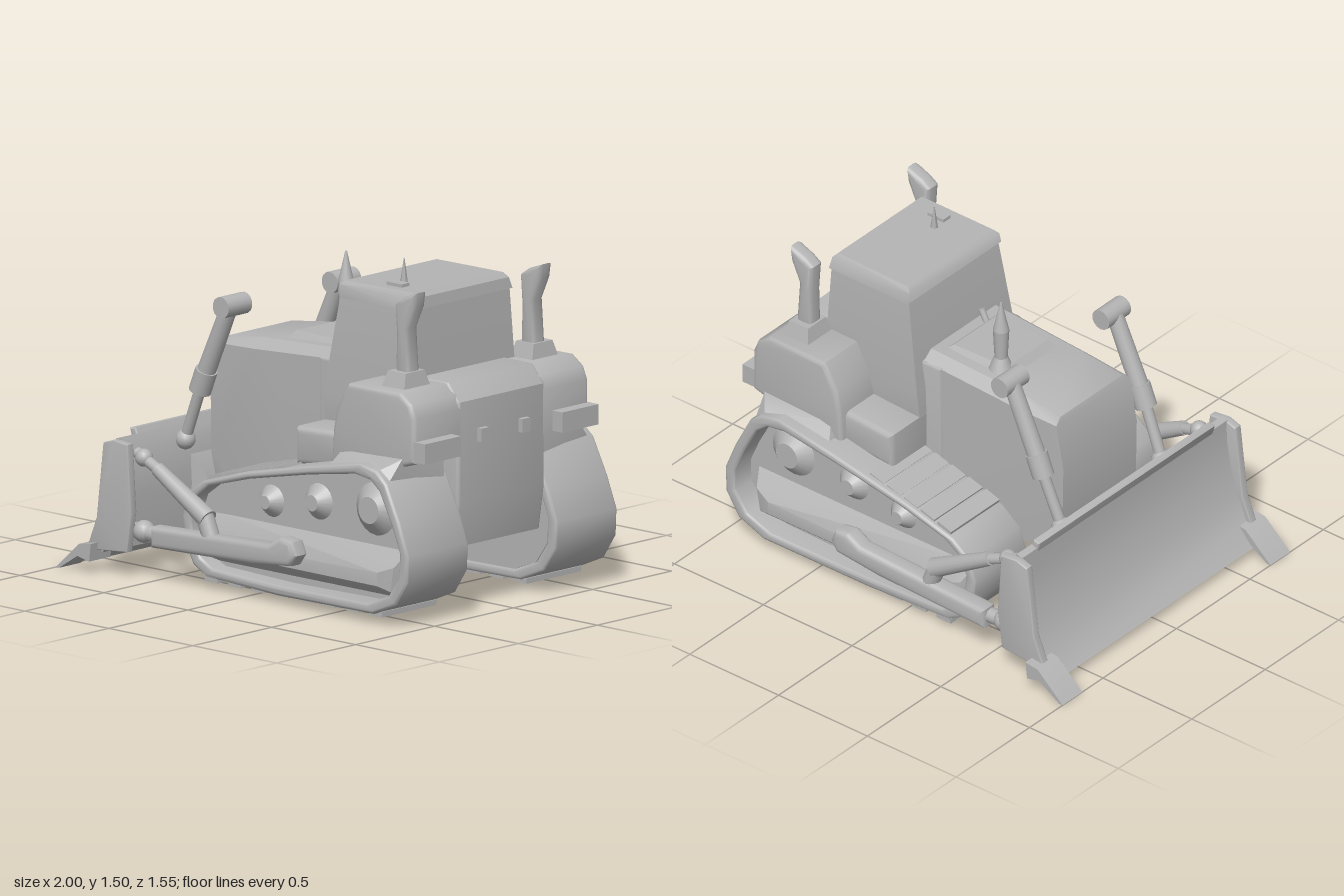
import * as THREE from 'three';
import { toCreasedNormals } from 'three/addons/utils/BufferGeometryUtils.js';
import { ConvexGeometry } from 'three/addons/geometries/ConvexGeometry.js';

export function createModel() {
  const model = new THREE.Group();
  model.name = 'bulldozer';
  const grey = new THREE.MeshStandardMaterial({ color: 0xb4b4b4 });
  grey.name = 'plain grey';
  const V = (x, y, z) => new THREE.Vector3(x, y, z);

  const add = (name, geometry) => {
    const mesh = new THREE.Mesh(geometry, grey);
    mesh.name = name;
    model.add(mesh);
    return mesh;
  };
  // side outline (x, y) extruded between two z values, with softened edges
  const slab = (name, pts, z0, z1, bevel = 0, hole = null) => {
    const vecs = (list) => list.map(([x, y]) => new THREE.Vector2(x, y));
    const shape = new THREE.Shape(vecs(pts));
    if (hole) shape.holes.push(new THREE.Path(vecs(hole)));
    const g = new THREE.ExtrudeGeometry(shape, {
      depth: z1 - z0 - 2 * bevel, bevelEnabled: bevel > 0, bevelSize: bevel,
      bevelThickness: bevel, bevelOffset: -bevel, bevelSegments: 3,
    });
    g.translate(0, 0, z0 + bevel);
    return add(name, toCreasedNormals(g, 0.7));
  };
  // convex body around corner points, on one side or mirrored over z = 0
  const convex = (name, pts, s = 1) => add(name, toCreasedNormals(
    new ConvexGeometry(pts.map(([x, y, z]) => V(x, y, s * z))), 0.6));
  const hull = (name, pts) => convex(name, pts.flatMap(([x, y, z]) => [[x, y, z], [x, y, -z]]));
  const box = (name, x0, x1, y0, y1, z0, z1) => {
    const m = add(name, new THREE.BoxGeometry(x1 - x0, y1 - y0, z1 - z0));
    m.position.set((x0 + x1) / 2, (y0 + y1) / 2, (z0 + z1) / 2);
    return m;
  };
  // round rod between two points
  const rod = (name, a, b, r0, r1 = r0, sides = 14) => {
    const d = b.clone().sub(a);
    const m = add(name, new THREE.CylinderGeometry(r1, r0, d.length(), sides));
    m.position.copy(a).addScaledVector(d, 0.5);
    m.quaternion.setFromUnitVectors(V(0, 1, 0), d.normalize());
  };
  const ball = (name, p, r) => add(name, new THREE.SphereGeometry(r, 14, 10)).position.copy(p);

  // engine hood and its raised top panel
  hull('hood', [
    [-0.55, 0.36, 0.23], [-0.565, 0.5, 0.25], [-0.57, 0.78, 0.25], [-0.53, 0.99, 0.25],
    [-0.52, 1.015, 0.21], [-0.5, 0.33, 0.24], [-0.36, 0.32, 0.25], [-0.3, 1.0, 0.262], [-0.3, 1.045, 0.21],
    [0.2, 0.32, 0.26], [0.2, 1.03, 0.268], [0.2, 1.07, 0.22],
  ]);
  hull('hoodPanel', [[-0.2, 1.04, 0.17], [-0.16, 1.085, 0.14], [0.13, 1.085, 0.15], [0.17, 1.05, 0.18]]);
  rod('hoodStackBase', V(-0.12, 1.06, -0.13), V(-0.12, 1.12, -0.13), 0.055, 0.03);
  rod('hoodStack', V(-0.12, 1.1, -0.13), V(-0.12, 1.26, -0.13), 0.028, 0.036);
  rod('hoodStackTip', V(-0.12, 1.26, -0.13), V(-0.12, 1.4, -0.13), 0.036, 0.004);
  rod('hoodHandle', V(0.15, 1.06, 0.1), V(0.18, 1.12, 0.1), 0.015);

  // rear body between the tracks
  slab('rearBody', [[0.1, 0.3], [0.9, 0.3], [0.93, 0.5], [0.93, 0.95], [0.86, 1.03], [0.1, 1.03]], -0.275, 0.275, 0.015);
  for (const z of [-0.13, 0.13]) box('rearHook', 0.91, 0.955, 0.76, 0.82, z - 0.025, z + 0.025);

  // cab, roof and aerial
  hull('cab', [
    [0.18, 0.76, 0.32], [0.185, 0.9, 0.335], [0.255, 1.33, 0.305], [0.69, 1.33, 0.305],
    [0.7, 1.02, 0.325], [0.7, 0.76, 0.32],
  ]);
  hull('roof', [
    [0.235, 1.345, 0.3], [0.25, 1.38, 0.305], [0.27, 1.397, 0.29],
    [0.67, 1.402, 0.285], [0.69, 1.38, 0.3], [0.695, 1.33, 0.318], [0.26, 1.32, 0.31],
  ]);
  rod('aerial', V(0.48, 1.39, 0.14), V(0.48, 1.505, 0.14), 0.018, 0.002, 6);
  box('roofVent', 0.47, 0.56, 1.39, 1.415, 0.19, 0.24);

  // track outline and the opening in its outer side
  const trackLine = [
    [-0.24, 0.055], [0.2, 0.04], [0.78, 0.05], [0.92, 0.11], [0.99, 0.22], [0.995, 0.34],
    [0.94, 0.48], [0.86, 0.64], [0.8, 0.69], [0.7, 0.705], [0.4, 0.65], [0, 0.56],
    [-0.26, 0.48], [-0.35, 0.41], [-0.385, 0.31], [-0.37, 0.19], [-0.32, 0.1],
  ];
  const opening = trackLine.map(([x, y]) => [0.3 + (x - 0.3) * 0.925, 0.36 + (y - 0.36) * 0.86]);

  for (const s of [1, -1]) {
    const span = (a, b) => (s > 0 ? [a, b] : [-b, -a]);
    const side = (name, pts, a, b, bevel, hole) => slab(name, pts, ...span(a, b), bevel, hole);

    // crawler track, narrowing a little towards the front
    const belt = side('trackBelt', trackLine, 0.275, 0.65, 0.014, opening).geometry.attributes.position;
    for (let i = 0; i < belt.count; i++) {
      const z = Math.abs(belt.getZ(i));
      belt.setZ(i, s * (0.275 + (z - 0.275) * (0.975 + 0.07 * belt.getX(i))));
    }
    // recessed core, lower beam with sloping faces, sprocket and hubs
    side('trackCore', opening, 0.28, 0.55, 0);
    convex('trackBeam', [
      [-0.31, 0.11, 0.54], [-0.33, 0.34, 0.54], [0.9, 0.34, 0.54], [0.88, 0.11, 0.54],
      [-0.28, 0.15, 0.6], [-0.28, 0.25, 0.6], [0.86, 0.26, 0.61], [0.84, 0.15, 0.61],
      [-0.2, 0.17, 0.622], [-0.2, 0.22, 0.622], [0.78, 0.23, 0.63], [0.78, 0.17, 0.63],
    ], s);
    for (const [x, y, r] of [[0.7, 0.49, 0.1], [0.36, 0.47, 0.06], [0.08, 0.43, 0.05]])
      rod('trackHub', V(x, y, s * 0.54), V(x, y, s * 0.6), r + 0.03, r * 0.6, 20);
    for (let i = 0; i < 8; i++) {
      const x = -0.2 + i * 0.14;
      box('trackPad', x - 0.05, x + 0.03, 0.036, 0.06, ...span(0.285, 0.63));
    }
    // pads along the sloping top
    for (let i = 0; i < 5; i++) {
      const x = -0.2 + i * 0.095;
      const pad = box('topPad', x - 0.04, x + 0.04, -0.008, 0.008, ...span(0.285, 0.615));
      pad.position.y = 0.502 + (x + 0.22) * 0.24;
      pad.rotation.z = 0.3;
    }

    // front step, fender tank, lower flare and rear lamp box
    side('fenderStep', [[0.18, 0.6], [0.18, 0.77], [0.56, 0.79], [0.7, 0.66], [0.45, 0.62]], 0.24, 0.515, 0.03);
    side('fenderTank', [
      [0.43, 0.64], [0.44, 0.8], [0.46, 0.9], [0.53, 1.02], [0.84, 1.025],
      [0.905, 0.98], [0.93, 0.92], [0.93, 0.72], [0.8, 0.68], [0.6, 0.62],
    ], 0.24, 0.555, 0.022);
    convex('fenderFlare', [
      [0.5, 0.74, 0.3], [0.5, 0.73, 0.54], [0.86, 0.74, 0.3], [0.86, 0.735, 0.555],
      [0.46, 0.65, 0.6], [0.8, 0.69, 0.63], [0.85, 0.64, 0.63], [0.87, 0.62, 0.3], [0.46, 0.65, 0.3],
    ], s);
    box('rearLampBox', 0.88, 0.99, 0.73, 0.82, ...span(0.32, 0.55));

    // bent rear stack on a tapered base
    convex('stackBase', [
      [0.67, 1.01, 0.32], [0.67, 1.01, 0.49], [0.81, 1.01, 0.32], [0.81, 1.01, 0.49],
      [0.69, 1.09, 0.345], [0.69, 1.09, 0.465], [0.795, 1.09, 0.345], [0.795, 1.09, 0.465],
    ], s);
    side('rearStack', [
      [0.7, 1.07], [0.785, 1.07], [0.77, 1.28], [0.815, 1.38], [0.822, 1.445], [0.74, 1.415], [0.695, 1.385], [0.705, 1.25],
    ], 0.357, 0.437, 0.022);

    // lift cylinder above the blade
    rod('liftCylinder', V(-0.36, 1.2, s * 0.35), V(-0.53, 0.82, s * 0.35), 0.038, 0.043);
    rod('liftCollar', V(-0.5, 0.89, s * 0.35), V(-0.54, 0.79, s * 0.35), 0.05);
    rod('liftRod', V(-0.53, 0.82, s * 0.35), V(-0.64, 0.55, s * 0.34), 0.026);
    rod('liftHead', V(-0.35, 1.2, s * 0.27), V(-0.35, 1.2, s * 0.42), 0.048);
    ball('liftFoot', V(-0.635, 0.56, s * 0.34), 0.045);

    // push arm and diagonal brace
    side('pushArm', [[-0.5, 0.155], [0.1, 0.175], [0.33, 0.2], [0.365, 0.25], [0.34, 0.31], [0.27, 0.32], [0.2, 0.28], [-0.5, 0.25]], 0.62, 0.715, 0.025);
    rod('pushArmRod', V(-0.66, 0.21, s * 0.66), V(-0.48, 0.205, s * 0.66), 0.035);
    ball('pushArmJoint', V(-0.58, 0.21, s * 0.66), 0.05);
    rod('brace', V(-0.5, 0.5, s * 0.66), V(-0.19, 0.325, s * 0.67), 0.032, 0.045);
    rod('braceRod', V(-0.64, 0.55, s * 0.64), V(-0.48, 0.49, s * 0.66), 0.025);
    ball('braceJoint', V(-0.59, 0.535, s * 0.65), 0.04);
    rod('braceFoot', V(-0.21, 0.34, s * 0.67), V(-0.16, 0.22, s * 0.67), 0.04);

    // blade end plate and corner bit
    side('bladeEndPlate', [[-0.76, 0.59], [-0.7, 0.61], [-0.615, 0.6], [-0.595, 0.3], [-0.62, 0.12], [-0.86, 0.1], [-0.8, 0.25]], 0.69, 0.73, 0.006);
    side('cornerBit', [[-1, 0.005], [-0.86, 0.13], [-0.79, 0.14], [-0.8, 0.06], [-0.87, 0.075], [-0.98, 0.005]], 0.64, 0.775, 0);
  }

  // curved blade with cutting edge, spill guard and rear rib
  slab('blade', [
    [-0.71, 0.61], [-0.715, 0.5], [-0.735, 0.38], [-0.77, 0.26], [-0.82, 0.14], [-0.9, 0.05],
    [-0.87, 0.04], [-0.78, 0.1], [-0.66, 0.13], [-0.645, 0.35], [-0.655, 0.56], [-0.68, 0.62],
  ], -0.7, 0.7);
  slab('spillGuard', [[-0.71, 0.59], [-0.725, 0.64], [-0.69, 0.645], [-0.665, 0.58]], -0.6, 0.6, 0.008);
  hull('bladeBack', [[-0.66, 0.5, 0.3], [-0.61, 0.4, 0.24], [-0.59, 0.27, 0.22], [-0.66, 0.14, 0.32]]);
  return model;
}
